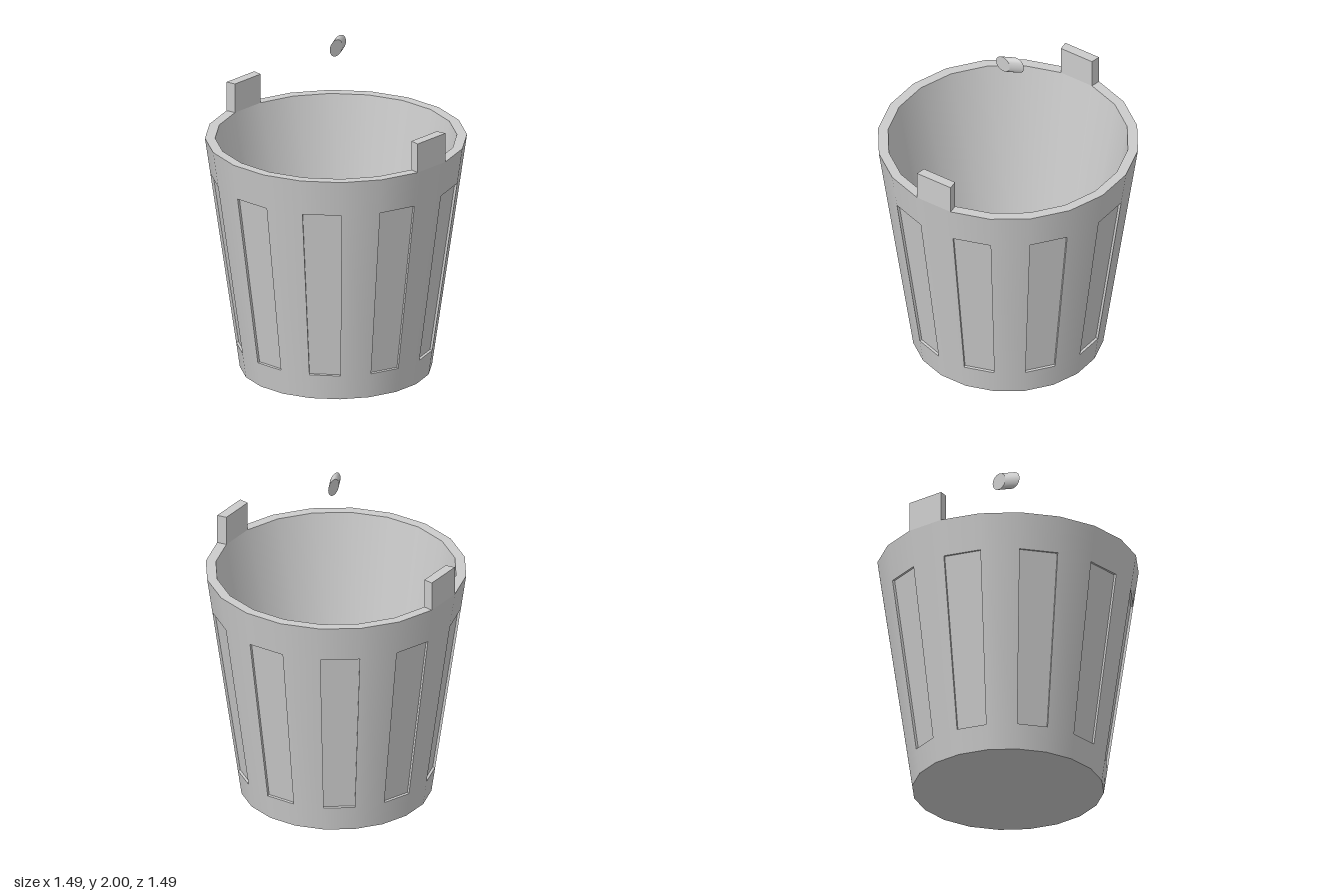
import * as THREE from 'three';

const SIDES = 20, STEP = (Math.PI * 2) / SIDES, START = THREE.MathUtils.degToRad(13);
const HEIGHT = 1.4, R_BOTTOM = 0.55, R_TOP = 0.75;
const R_INNER_TOP = 0.692, R_FLOOR = 0.472, FLOOR_Y = 0.06;
const PANEL_LOW = 0.15, PANEL_HIGH = 1.185, PANEL_DEPTH = 0.015;

const radiusAt = (y) => R_BOTTOM + (R_TOP - R_BOTTOM) * y / HEIGHT;
const point = (phi, r, y) => new THREE.Vector3(r * Math.sin(phi), y, r * Math.cos(phi));

export function createModel() {
  const model = new THREE.Group();
  const smooth = new THREE.MeshStandardMaterial({ color: 0xcccccc });
  const flat = new THREE.MeshStandardMaterial({ color: 0xcccccc, flatShading: true });

  const add = (name, geometry, material, parent = model) => {
    const mesh = new THREE.Mesh(geometry, material);
    mesh.name = name;
    parent.add(mesh);
    return mesh;
  };
  // One revolved band between two profile points [radius, y]
  const band = (name, from, to, parent = model, phi = START, count = SIDES) =>
    add(name, new THREE.LatheGeometry([new THREE.Vector2(...from), new THREE.Vector2(...to)],
      count, phi, STEP * count), smooth, parent);

  // Bucket shell
  const ring = (y) => [radiusAt(y), y];
  band('underside', [0, 0], ring(0));
  band('lowerBand', ring(0), ring(PANEL_LOW));
  band('upperBand', ring(PANEL_HIGH), ring(HEIGHT));
  band('rim', ring(HEIGHT), [R_INNER_TOP, HEIGHT]);
  band('innerWall', [R_INNER_TOP, HEIGHT], [R_FLOOR, FLOOR_Y]);
  band('innerFloor', [R_FLOOR, FLOOR_Y], [0, FLOOR_Y]);

  // Alternating recessed panels and plain staves
  const staves = new THREE.Group();
  staves.name = 'staves';
  model.add(staves);
  for (let i = 0; i < SIDES; i++) {
    const phi = START + i * STEP;
    if (i % 2) band('stave', ring(PANEL_LOW), ring(PANEL_HIGH), staves, phi, 1);
    else add('recessedPanel', recessGeometry(phi), flat, staves);
  }

  // Upright handle tabs on the rim, front and back
  for (const [name, turn] of [['frontTab', 0], ['backTab', Math.PI]]) {
    const a = START - STEP + turn, b = START + turn;
    const corners = [[a, R_TOP], [b, R_TOP], [b, R_INNER_TOP], [a, R_INNER_TOP]]
      .map(([phi, r]) => new THREE.Vector2(r * Math.sin(phi), -r * Math.cos(phi)));
    const geometry = new THREE.ExtrudeGeometry(new THREE.Shape(corners), { depth: 0.175, bevelEnabled: false });
    geometry.rotateX(-Math.PI / 2).translate(0, HEIGHT, 0);
    add(name, geometry, flat);
  }

  // Short slanted grip piece floating above the bucket
  const grip = new THREE.CylinderGeometry(0.05, 0.05, 0.044, 20).rotateX(Math.PI / 2);
  grip.applyMatrix4(new THREE.Matrix4().set(
    1, 0, -0.07 / 0.044, 0.015,
    0, 1, 0, 1.95,
    0, 0, 1, 0,
    0, 0, 0, 1));
  add('grip', grip, smooth);

  return model;
}

// Sunken rectangle: a back face and four narrow side walls
function recessGeometry(phi) {
  const outer = [[phi, PANEL_LOW], [phi + STEP, PANEL_LOW], [phi + STEP, PANEL_HIGH], [phi, PANEL_HIGH]]
    .map(([p, y]) => point(p, radiusAt(y), y));
  const normal = outer[1].clone().sub(outer[0]).cross(outer[3].clone().sub(outer[0])).normalize();
  const inner = outer.map((v) => v.clone().addScaledVector(normal, -PANEL_DEPTH));
  const positions = [];
  const quad = (a, b, c, d) => [a, b, c, a, c, d].forEach((v) => positions.push(v.x, v.y, v.z));
  quad(...inner);
  for (let i = 0; i < 4; i++) {
    const j = (i + 1) % 4;
    quad(outer[i], outer[j], inner[j], inner[i]);
  }
  const geometry = new THREE.BufferGeometry();
  geometry.setAttribute('position', new THREE.Float32BufferAttribute(positions, 3));
  geometry.computeVertexNormals();
  return geometry;
}
